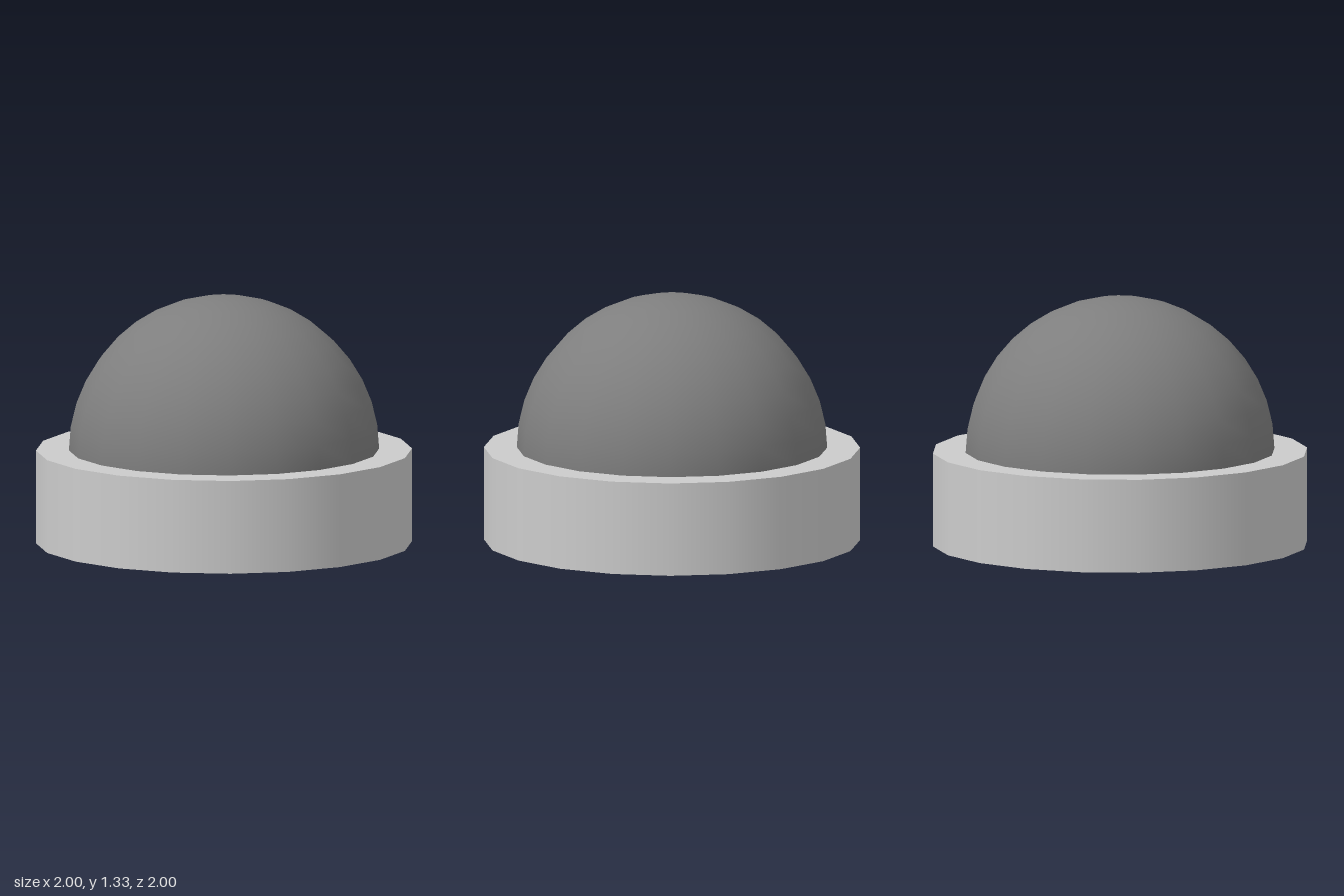
import * as THREE from 'three';

const SIDES = 20;
const BASE_HEIGHT = 0.5;
const DOME_RADIUS = 0.825;

export function createModel() {
  const model = new THREE.Group();
  model.name = 'domeOnBase';

  // Round base, smooth around the side with sharp rims
  const base = new THREE.Mesh(
    new THREE.CylinderGeometry(1, 1, BASE_HEIGHT, SIDES),
    new THREE.MeshStandardMaterial({ color: 0xcccccc })
  );
  base.name = 'base';
  base.position.y = BASE_HEIGHT / 2;
  model.add(base);

  // Half-sphere dome resting on the base
  const dome = new THREE.Mesh(
    new THREE.SphereGeometry(DOME_RADIUS, SIDES, 10, 0, Math.PI * 2, 0, Math.PI / 2),
    new THREE.MeshStandardMaterial({ color: 0x7e7e7e })
  );
  dome.name = 'dome';
  dome.position.y = BASE_HEIGHT;
  model.add(dome);

  return model;
}
